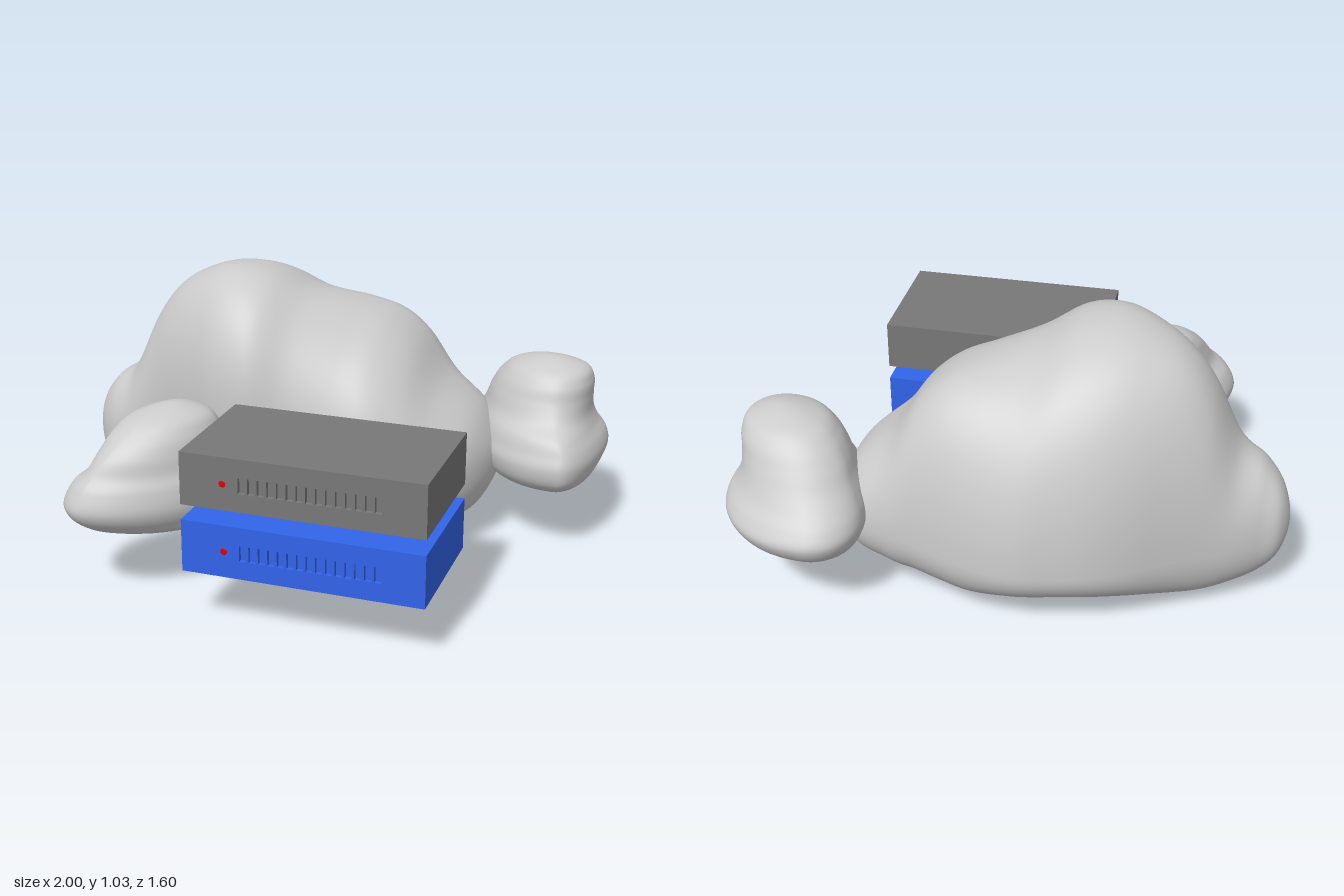
import * as THREE from 'three';
import { mergeVertices } from 'three/addons/utils/BufferGeometryUtils.js';

const grey = new THREE.MeshStandardMaterial({ color: 0xcccccc });
const darkGrey = new THREE.MeshStandardMaterial({ color: 0x787878 });
const blue = new THREE.MeshStandardMaterial({ color: 0x3264ea });
const red = new THREE.MeshStandardMaterial({ color: 0xdd0000 });

// Smooth blob lofted along x (a = y, b = z) or along y (a = z, b = x).
// Each section is a closed curve of four quarter arcs through its extreme points:
// [position, aLow, b there, aHigh, b there, bLow, a there, bHigh, a there]
// An exponent below 1 makes the arcs fuller, above 1 slimmer.
function blob(name, axis, exponent, sections) {
  const around = 72, steps = 8, n = sections.length;
  // Mirrored phantom sections beyond each end round off the tips
  const flip = ([p, a, b, c, d, e, f, g, h]) => [p, c, d, a, b, g, h, e, f];
  const s = [flip(sections[1]), ...sections, flip(sections[n - 2])];
  const pos = [], index = [];
  const rows = (n - 1) * steps;
  for (let r = 0; r <= rows; r++) {
    const k = Math.min(Math.floor(r / steps), n - 2), t = r / steps - k;
    const [p, aLo, bAtALo, aHi, bAtAHi, bLo, aAtBLo, bHi, aAtBHi] = s[0].map((_, j) => {
      const [q, u, v, w] = [s[k][j], s[k + 1][j], s[k + 2][j], s[k + 3][j]];
      return u + 0.5 * t * (v - q + t * (2 * q - 5 * u + 4 * v - w + t * (3 * (u - v) + w - q)));
    });
    for (let i = 0; i < around; i++) {
      const angle = (i / around) * Math.PI * 2, cos = Math.cos(angle), sin = Math.sin(angle);
      const [aEnd, bMid] = cos >= 0 ? [aHi, bAtAHi] : [aLo, bAtALo];
      const [bEnd, aMid] = sin >= 0 ? [bHi, aAtBHi] : [bLo, aAtBLo];
      const a = aMid + (aEnd - aMid) * Math.abs(cos) ** exponent;
      const b = bMid + (bEnd - bMid) * Math.abs(sin) ** exponent;
      pos.push(...(axis === 'x' ? [p, a, b] : [b, p, a]));
    }
  }
  for (let r = 0; r < rows; r++) {
    for (let i = 0; i < around; i++) {
      const j = (i + 1) % around;
      const a = r * around + i, b = a + around, c = r * around + j, d = c + around;
      index.push(a, c, b, b, c, d);
    }
  }
  let geo = new THREE.BufferGeometry();
  geo.setAttribute('position', new THREE.Float32BufferAttribute(pos, 3));
  geo.setIndex(index);
  geo = mergeVertices(geo, 1e-5);
  geo.computeVertexNormals();
  const mesh = new THREE.Mesh(geo, grey);
  mesh.name = name;
  return mesh;
}

// Rack unit: solid case, front panel with recessed vents, indicator light
function rackUnit(name, yLow, material) {
  const unit = new THREE.Group();
  unit.name = name;
  const w = 0.844, h = 0.187, depth = 0.484, panelDepth = 0.015;

  const body = new THREE.Mesh(new THREE.BoxGeometry(w, h, depth - panelDepth), material);
  body.name = 'case';
  body.position.z = -panelDepth / 2;

  const face = new THREE.Shape();
  face.moveTo(-w / 2, -h / 2).lineTo(w / 2, -h / 2).lineTo(w / 2, h / 2).lineTo(-w / 2, h / 2).closePath();
  const vents = 15, pitch = 0.0333, vw = 0.023, vh = 0.056;
  for (let i = 0; i < vents; i++) {
    const x = -0.215 + i * pitch;
    const vent = new THREE.Path();
    vent.moveTo(x, -vh / 2).lineTo(x, vh / 2).lineTo(x + vw, vh / 2).lineTo(x + vw, -vh / 2).closePath();
    face.holes.push(vent);
  }
  const panel = new THREE.Mesh(
    new THREE.ExtrudeGeometry(face, { depth: panelDepth, bevelEnabled: false }), material);
  panel.name = 'ventPanel';
  panel.position.z = depth / 2 - panelDepth;

  const light = new THREE.Mesh(new THREE.SphereGeometry(0.012, 20, 12), red);
  light.name = 'indicatorLight';
  light.position.set(-0.27, 0, depth / 2);
  light.scale.z = 0.1;

  unit.add(body, panel, light);
  unit.position.set(0.211, yLow + h / 2, 0.56);
  return unit;
}

export function createModel() {
  const model = new THREE.Group();
  model.name = 'cloudServers';

  // Bottom, top, back and front of each slice from left to right
  model.add(blob('mainCloud', 'x', 0.92, [
    [-1.0, 0.31, -0.2, 0.31, -0.2, -0.2, 0.31, -0.2, 0.31],
    [-0.97, 0.18, -0.2, 0.44, -0.2, -0.29, 0.3, -0.1, 0.32],
    [-0.9, 0.1, -0.21, 0.53, -0.18, -0.33, 0.29, -0.025, 0.32],
    [-0.8, 0.055, -0.23, 0.61, -0.17, -0.385, 0.27, 0.01, 0.34],
    [-0.7, 0.03, -0.25, 0.82, -0.18, -0.44, 0.27, 0.035, 0.44],
    [-0.6, 0.025, -0.24, 0.94, -0.17, -0.5, 0.27, 0.08, 0.54],
    [-0.47, 0.035, -0.22, 1.01, -0.14, -0.58, 0.27, 0.15, 0.58],
    [-0.35, 0.045, -0.21, 1.035, -0.12, -0.635, 0.27, 0.21, 0.59],
    [-0.22, 0.045, -0.21, 1.015, -0.13, -0.67, 0.27, 0.23, 0.57],
    [-0.08, 0.032, -0.21, 0.942, -0.18, -0.69, 0.27, 0.195, 0.48],
    [0.08, 0.002, -0.21, 0.895, -0.28, -0.665, 0.27, 0.182, 0.4],
    [0.2, 0.01, -0.21, 0.85, -0.33, -0.63, 0.28, 0.18, 0.38],
    [0.3, 0.03, -0.22, 0.77, -0.34, -0.6, 0.29, 0.15, 0.36],
    [0.4, 0.055, -0.24, 0.63, -0.33, -0.58, 0.3, 0.1, 0.34],
    [0.55, 0.14, -0.27, 0.49, -0.31, -0.52, 0.31, -0.06, 0.32],
    [0.615, 0.32, -0.31, 0.32, -0.31, -0.31, 0.32, -0.31, 0.32],
  ]));

  // Back, front, right and left of each slice from bottom to top
  model.add(blob('frontCloud', 'y', 1.12, [
    [0.21, 0.48, -0.42, 0.48, -0.42, -0.42, 0.48, -0.42, 0.48],
    [0.235, 0.32, -0.3, 0.66, -0.53, -0.61, 0.57, -0.23, 0.38],
    [0.28, 0.25, -0.26, 0.75, -0.58, -0.69, 0.62, -0.18, 0.31],
    [0.34, 0.215, -0.235, 0.79, -0.6, -0.72, 0.64, -0.155, 0.28],
    [0.41, 0.228, -0.24, 0.77, -0.59, -0.69, 0.63, -0.163, 0.29],
    [0.46, 0.245, -0.27, 0.735, -0.57, -0.635, 0.62, -0.2, 0.33],
    [0.52, 0.265, -0.31, 0.7, -0.53, -0.605, 0.59, -0.235, 0.38],
    [0.58, 0.29, -0.34, 0.64, -0.49, -0.575, 0.54, -0.25, 0.39],
    [0.63, 0.325, -0.37, 0.56, -0.45, -0.52, 0.49, -0.29, 0.4],
    [0.66, 0.425, -0.4, 0.425, -0.4, -0.4, 0.425, -0.4, 0.425],
  ]));

  model.add(blob('backCloud', 'y', 0.97, [
    [0.2, -0.52, 0.74, -0.52, 0.74, 0.74, -0.52, 0.74, -0.52],
    [0.22, -0.66, 0.67, -0.27, 0.82, 0.57, -0.56, 0.9, -0.48],
    [0.25, -0.715, 0.65, -0.17, 0.85, 0.52, -0.58, 0.95, -0.46],
    [0.29, -0.77, 0.63, -0.12, 0.87, 0.48, -0.6, 0.975, -0.46],
    [0.35, -0.8, 0.63, -0.105, 0.87, 0.46, -0.61, 0.995, -0.47],
    [0.4, -0.775, 0.63, -0.12, 0.87, 0.465, -0.6, 0.985, -0.47],
    [0.45, -0.73, 0.65, -0.145, 0.85, 0.485, -0.58, 0.955, -0.45],
    [0.5, -0.69, 0.68, -0.2, 0.82, 0.51, -0.55, 0.937, -0.44],
    [0.56, -0.65, 0.7, -0.235, 0.8, 0.535, -0.52, 0.935, -0.43],
    [0.62, -0.605, 0.72, -0.26, 0.8, 0.575, -0.49, 0.935, -0.43],
    [0.67, -0.54, 0.74, -0.31, 0.79, 0.64, -0.46, 0.905, -0.42],
    [0.7, -0.42, 0.78, -0.42, 0.78, 0.78, -0.42, 0.78, -0.42],
  ]));

  model.add(rackUnit('upperServer', 0.447, darkGrey), rackUnit('lowerServer', 0.205, blue));
  return model;
}
